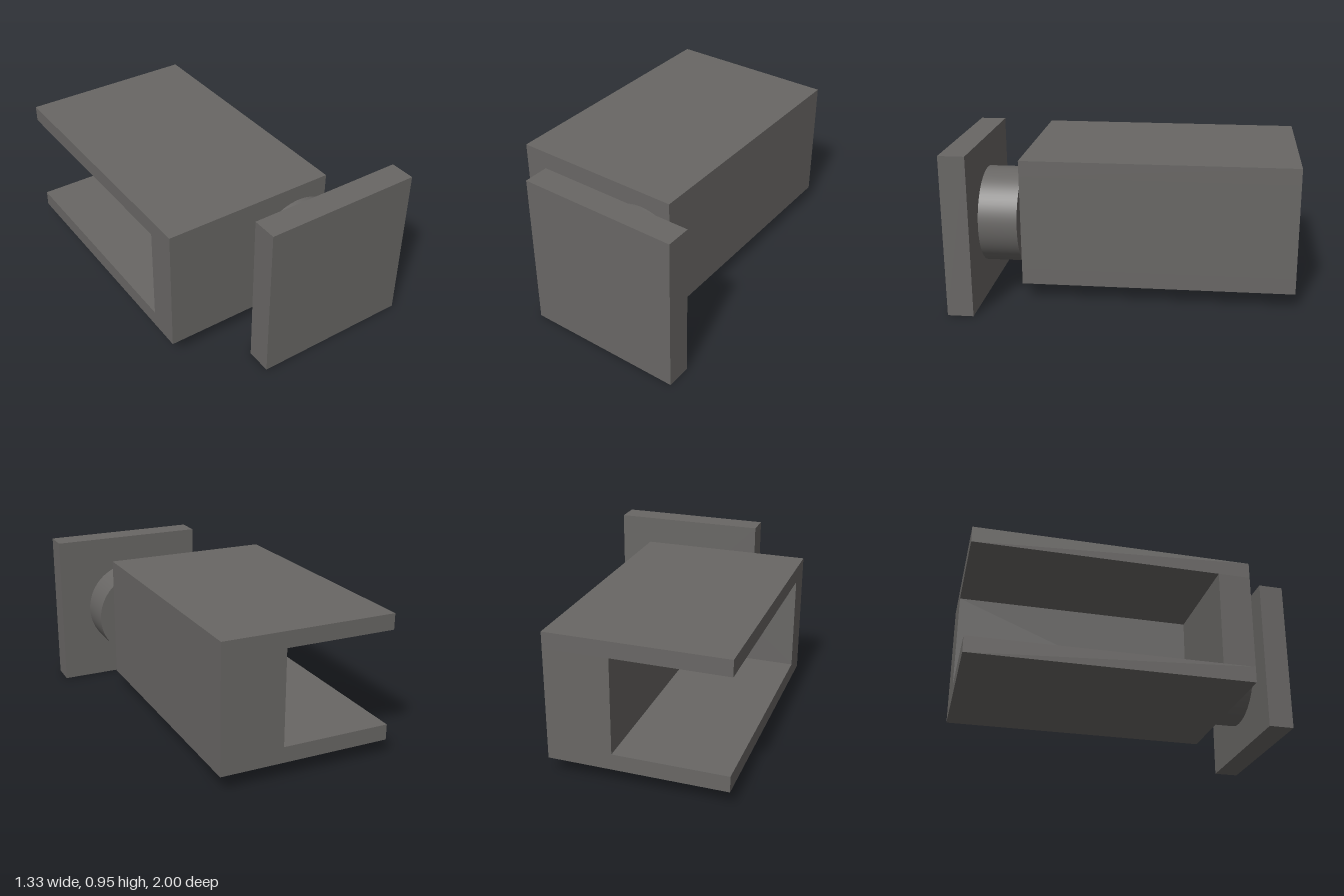
import * as THREE from 'three';

const U = 2 / 21; // base module of the design

export function createModel() {
  const group = new THREE.Group();
  const grey = new THREE.MeshStandardMaterial({ color: 0x696765 });
  grey.name = 'warm grey';

  const add = (name, geometry, x, y, z) => {
    const mesh = new THREE.Mesh(geometry, grey);
    mesh.name = name;
    mesh.position.set(x, y, z);
    group.add(mesh);
    return mesh;
  };

  // Housing extents
  const x0 = -7 * U, x1 = 4 * U, z0 = -1, z1 = 6.5 * U;
  const w = x1 - x0, d = z1 - z0;

  // Floor and roof slabs
  for (const [name, y] of [['housingFloor', 1.5 * U], ['housingRoof', 8.5 * U]]) {
    add(name, new THREE.BoxGeometry(w, U, d), (x0 + x1) / 2, y, (z0 + z1) / 2);
  }

  // L-shaped wall: thick left side and front, open at the back and right
  const plan = new THREE.Shape([
    [x0, z1], [x1, z1], [x1, z0], [0, z0], [0, z1 - 2 * U], [x0, z1 - 2 * U],
  ].map(([x, z]) => new THREE.Vector2(x, -z)));
  const wall = new THREE.ExtrudeGeometry(plan, { depth: 6 * U, bevelEnabled: false });
  wall.rotateX(-Math.PI / 2);
  add('housingWall', wall, 0, 2 * U, 0);

  // Round neck joining the housing to the plate
  const plateBack = 0.848;
  const neck = new THREE.CylinderGeometry(3 * U, 3 * U, plateBack - z1, 64);
  neck.rotateX(Math.PI / 2);
  add('neck', neck, 2 * U, 5 * U, (plateBack + z1) / 2);

  // Square front plate
  add('frontPlate', new THREE.BoxGeometry(10 * U, 10 * U, 1 - plateBack), 2 * U, 5 * U, (1 + plateBack) / 2);

  return group;
}
